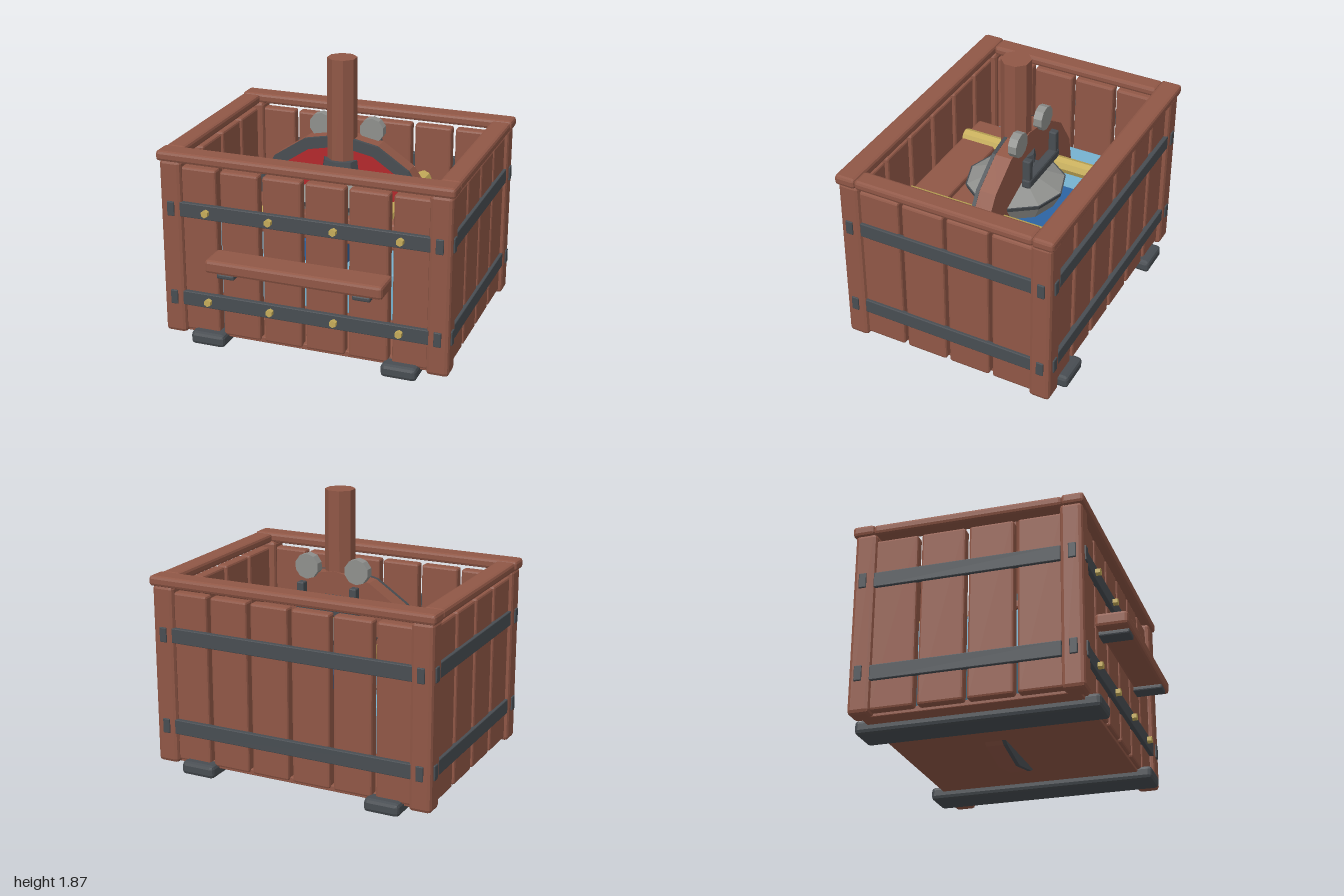
import * as THREE from 'three';
import { RoundedBoxGeometry } from 'three/addons/geometries/RoundedBoxGeometry.js';

const mat = (name, color) => {
  const m = new THREE.MeshStandardMaterial({ color });
  m.name = name;
  return m;
};

export function createModel() {
  const root = new THREE.Group();
  root.name = 'crate';
  const wood = mat('wood', 0x905746);
  const iron = mat('dark iron', 0x484d52);
  const steel = mat('steel', 0x8f908d);
  const brass = mat('brass', 0xc6ad5a);
  const red = mat('red paint', 0xb3282c);
  const pale = mat('pale blue', 0x76b2d0);
  const blue = mat('deep blue', 0x2d64a3);

  // Faceted mesh
  const add = (name, geo, material, x = 0, y = 0, z = 0) => {
    const g = geo.index ? geo.toNonIndexed() : geo;
    g.computeVertexNormals();
    const mesh = new THREE.Mesh(g, material);
    mesh.name = name;
    mesh.position.set(x, y, z);
    root.add(mesh);
    return mesh;
  };
  // Chamfered box given by its limits
  const box = (name, material, x0, x1, y0, y1, z0, z1, bevel = 0.015) => add(
    name, new RoundedBoxGeometry(x1 - x0, y1 - y0, z1 - z0, 1, bevel), material,
    (x0 + x1) / 2, (y0 + y1) / 2, (z0 + z1) / 2);
  // Upright prism, or one lying along z
  const prism = (name, material, rTop, rBottom, h, sides, x, y, z, alongZ = false) => {
    const g = new THREE.CylinderGeometry(rTop, rBottom, h, sides);
    if (alongZ) g.rotateX(Math.PI / 2);
    return add(name, g, material, x, y, z);
  };

  // Crate frame, floor and skids
  for (const s of [-1, 1]) {
    const side = (name, m, a, b, ...rest) => box(name, m, s > 0 ? a : -b, s > 0 ? b : -a, ...rest);
    side('frontPost', wood, 0.835, 0.985, 0.08, 1.3, 0.53, 0.675, 0.025);
    side('backPost', wood, 0.835, 0.985, 0.08, 1.3, -0.815, -0.67, 0.025);
    side('sideTopRail', wood, 0.86, 0.995, 1.29, 1.355, -0.69, 0.55, 0.02);
    side('skid', iron, 0.545, 0.785, 0.03, 0.12, -0.85, 0.715, 0.025);
    for (let i = 0; i < 4; i++) {
      const z = -0.07 + (i - 1.5) * 0.315;
      side('sidePlank', wood, 0.88, 0.96, 0.1, 1.255, z - 0.145, z + 0.145);
    }
    for (const y of [0.34, 0.97]) {
      side('sideBand', iron, 0.95, 0.98, y - 0.05, y + 0.05, -0.68, 0.535, 0.005);
      side('cornerClip', iron, 0.96, 0.995, y - 0.05, y + 0.05, 0.585, 0.635, 0.005);
      side('cornerClip', iron, 0.96, 0.995, y - 0.05, y + 0.05, -0.775, -0.725, 0.005);
    }
  }
  box('frontTopRail', wood, -1, 1, 1.29, 1.36, 0.545, 0.69, 0.02);
  box('backTopRail', wood, -1, 1, 1.29, 1.36, -0.83, -0.685, 0.02);
  box('floor', wood, -0.9, 0.9, 0.08, 0.12, -0.76, 0.62, 0.005);

  // Front and back walls with iron bands
  for (const [name, z, out] of [['front', 0.605, 1], ['back', -0.745, -1]]) {
    for (let i = 0; i < 6; i++) {
      const x = (i - 2.5) * 0.293;
      box(name + 'Plank', wood, x - 0.132, x + 0.132, 0.1, 1.255, z - 0.04, z + 0.04);
    }
    for (const y of [0.34, 0.97]) {
      const b = z + out * 0.05;
      box(name + 'Band', iron, -0.85, 0.85, y - 0.05, y + 0.05, b - 0.018, b + 0.018, 0.005);
      for (const s of [-1, 1]) {
        const p = z + out * 0.065;
        box('cornerClip', iron, s * 0.91 - 0.025, s * 0.91 + 0.025, y - 0.05, y + 0.05, p - 0.015, p + 0.015, 0.005);
      }
    }
  }
  for (const x of [-0.66, -0.22, 0.22, 0.66])
    for (const y of [0.34, 0.97]) prism('bolt', brass, 0.025, 0.025, 0.04, 6, x, y, 0.685, true);

  // Front shelf on brackets
  box('shelf', wood, -0.6, 0.6, 0.63, 0.72, 0.64, 0.85, 0.02);
  for (const x of [-0.46, 0.46]) box('shelfBracket', iron, x - 0.06, x + 0.06, 0.6, 0.635, 0.62, 0.84, 0.01);

  // Contents: fill, runner cloth, inner planks and rails
  box('fill', pale, -0.88, 0.88, 0.36, 0.68, -0.7, 0.56, 0.01);
  box('cloth', blue, -0.24, 0.24, 0.67, 0.82, -0.68, 0.53, 0.005);
  box('innerPlank', wood, -0.6, 0.6, 0.83, 0.89, -0.02, 0.253);
  box('innerPlank', wood, -0.6, 0.6, 0.83, 0.89, 0.275, 0.535);
  for (const x of [-0.39, 0.39]) prism('rail', brass, 0.055, 0.055, 1.21, 8, x, 0.88, -0.075, true);

  // Round shield standing in the crate
  const cy = 0.68;
  const ngon = (r, n, shape) => {
    for (let i = 0; i < n; i++) {
      const a = i / n * Math.PI * 2 - Math.PI / 2;
      shape[i ? 'lineTo' : 'moveTo'](r * Math.cos(a), r * Math.sin(a));
    }
    shape.closePath();
    return shape;
  };
  prism('shieldBody', wood, 0.67, 0.67, 0.12, 16, 0, cy, -0.11, true);
  prism('shieldFace', red, 0.61, 0.61, 0.012, 16, 0, cy, -0.045, true);
  const ring = ngon(0.672, 16, new THREE.Shape());
  ring.holes.push(ngon(0.595, 16, new THREE.Path()));
  add('shieldRim', new THREE.ExtrudeGeometry(ring, { depth: 0.025, bevelEnabled: false }), iron, 0, cy, -0.055);
  prism('shieldBoss', steel, 0.36, 0.36, 0.04, 16, 0, cy, -0.02, true);
  for (const s of [-1, 1]) {
    box('shieldPeg', red, s * 0.48 - 0.03, s * 0.48 + 0.03, cy - 0.03, cy + 0.03, -0.2, 0, 0.008);
    prism('knob', steel, 0.085, 0.085, 0.06, 10, s * 0.18, 1.37, -0.175, true);
    box('gripPost', iron, s * 0.19 - 0.025, s * 0.19 + 0.025, 1.08, 1.28, -0.28, -0.225, 0.008);
  }
  box('gripBar', iron, -0.22, 0.22, 1.07, 1.14, -0.285, -0.22, 0.015);
  box('gripStem', iron, -0.035, 0.035, 1.08, 1.13, -0.24, -0.15, 0.008);

  // Mace standing head down
  const pz = -0.07;
  prism('maceHandle', wood, 0.1, 0.1, 0.96, 8, 0, 1.4, pz).rotation.y = Math.PI / 8;
  prism('maceCollar', iron, 0.13, 0.14, 0.07, 8, 0, 1.155, pz);
  prism('maceRing', brass, 0.12, 0.12, 0.09, 8, 0, 1.08, pz);
  prism('maceShoulder', steel, 0.12, 0.33, 0.09, 10, 0, 0.99, pz);
  prism('maceRim', iron, 0.34, 0.33, 0.03, 10, 0, 0.93, pz);
  prism('maceHead', steel, 0.33, 0.2, 0.25, 10, 0, 0.79, pz);

  // Loose rings on the fill
  const loose = (r, t, sides, x, z) =>
    add('looseRing', new THREE.TorusGeometry(r, t, 6, sides).rotateX(Math.PI / 2), steel, x, 0.7, z);
  loose(0.065, 0.016, 16, 0.54, -0.375);
  loose(0.2, 0.016, 16, -0.4, -0.24);
  return root;
}
